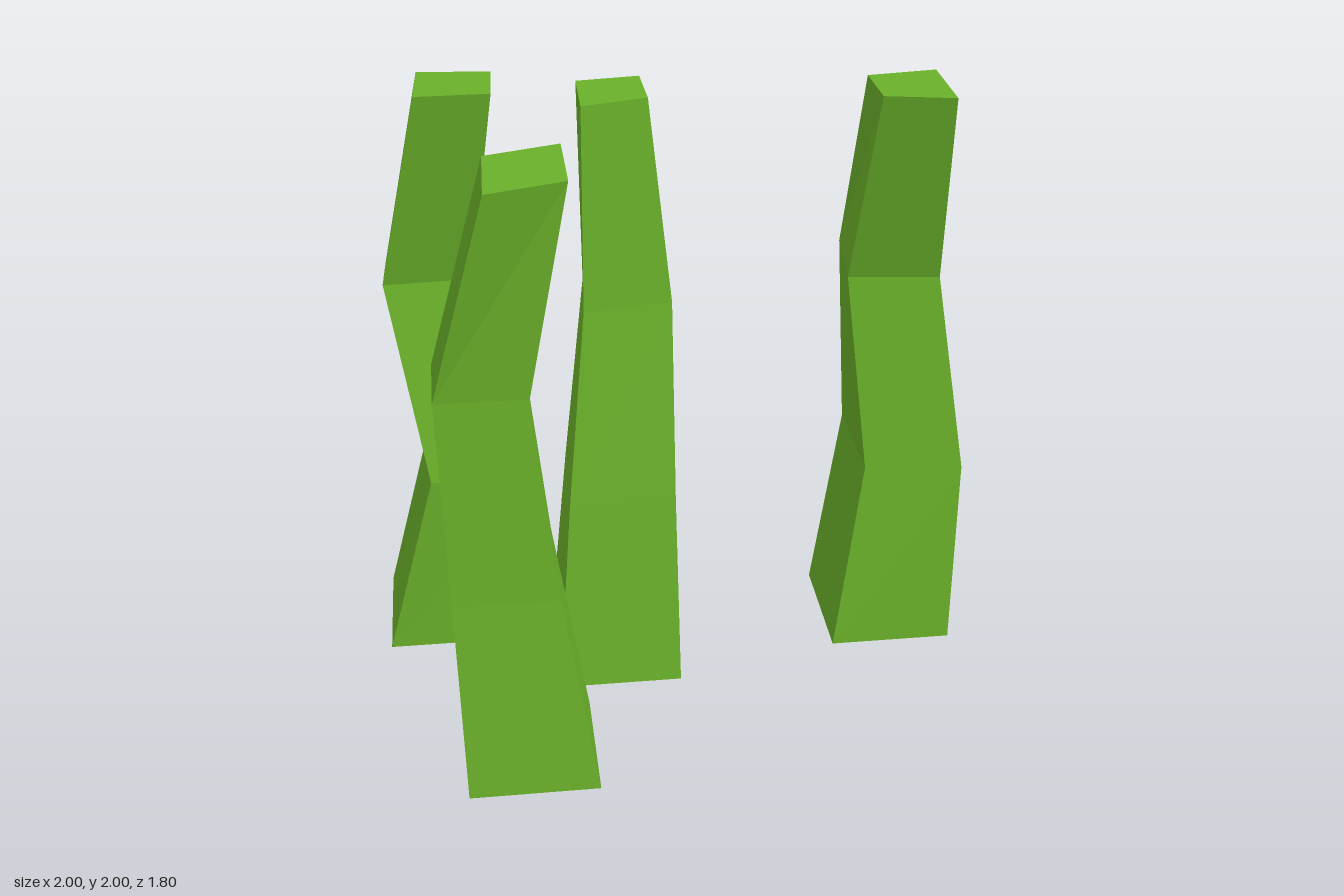
import * as THREE from 'three';

// Each stalk: four rings from ground to tip, each ring [x, z] for front, right, back, left corner.
const STALKS = {
  leftStalk: [
    [[0.67, 0.9], [0.965, 0.605], [0.67, 0.31], [0.375, 0.605]],
    [[0.725, 0.855], [0.995, 0.58], [0.77, 0.345], [0.515, 0.6]],
    [[0.74, 0.695], [0.925, 0.52], [0.78, 0.28], [0.55, 0.46]],
    [[0.61, 0.765], [0.8, 0.58], [0.62, 0.44], [0.485, 0.58]],
  ],
  middleStalk: [
    [[-0.115, 0.3], [0.18, 0.005], [-0.115, -0.29], [-0.41, 0.005]],
    [[-0.04, 0.21], [0.155, 0.015], [-0.06, -0.255], [-0.3, -0.03]],
    [[0.045, 0.12], [0.19, -0.02], [0, -0.215], [-0.185, -0.055]],
    [[0.03, 0.03], [0.17, -0.115], [0.01, -0.24], [-0.155, -0.08]],
  ],
  rightStalk: [
    [[-0.705, 0.43], [-0.41, 0.135], [-0.705, -0.16], [-1, 0.135]],
    [[-0.705, 0.28], [-0.43, 0], [-0.68, -0.21], [-0.94, 0.05]],
    [[-0.705, 0.18], [-0.55, 0.02], [-0.73, -0.19], [-0.9, -0.02]],
    [[-0.615, 0.265], [-0.42, 0.07], [-0.63, -0.04], [-0.83, 0.15]],
  ],
  backStalk: [
    [[-0.32, -0.31], [-0.025, -0.605], [-0.32, -0.9], [-0.615, -0.605]],
    [[-0.22, -0.26], [0.02, -0.49], [-0.25, -0.735], [-0.48, -0.49]],
    [[-0.23, -0.495], [-0.03, -0.7], [-0.32, -0.805], [-0.445, -0.69]],
    [[-0.24, -0.365], [-0.09, -0.505], [-0.24, -0.685], [-0.41, -0.53]],
  ],
};

// Four-sided column of three segments, its corners moved onto the given rings
function stalkGeometry(rings) {
  const geo = new THREE.CylinderGeometry(1, 1, 2, 4, 3).translate(0, 1, 0);
  const pos = geo.attributes.position;
  for (let i = 0; i < pos.count; i++) {
    const x = pos.getX(i), y = pos.getY(i), z = pos.getZ(i);
    const ring = rings[Math.round(y * 1.5)];
    if (Math.hypot(x, z) < 0.5) {
      // Cap centre sits in the middle of its ring
      const mean = (k) => ring.reduce((sum, p) => sum + p[k], 0) / 4;
      pos.setXYZ(i, mean(0), y, mean(1));
    } else {
      const corner = (Math.round(Math.atan2(x, z) / (Math.PI / 2)) + 4) % 4;
      pos.setXYZ(i, ring[corner][0], y, ring[corner][1]);
    }
  }
  geo.computeVertexNormals();
  return geo;
}

export function createModel() {
  const group = new THREE.Group();
  group.name = 'grassStalks';
  const green = new THREE.MeshStandardMaterial({ color: 0x6ab02a, flatShading: true });
  for (const [name, rings] of Object.entries(STALKS)) {
    const mesh = new THREE.Mesh(stalkGeometry(rings), green);
    mesh.name = name;
    group.add(mesh);
  }
  return group;
}
